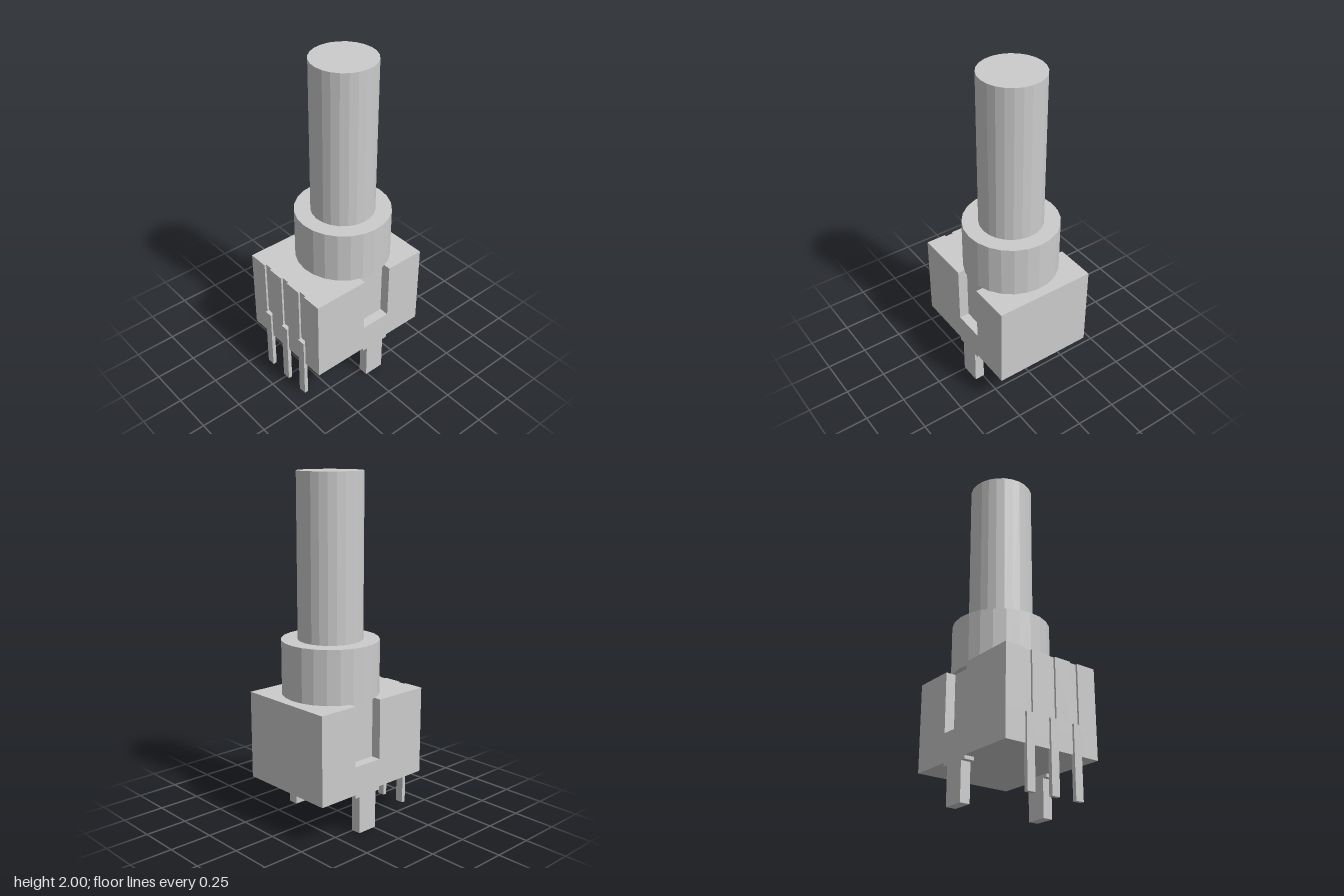
import * as THREE from 'three';

const HALF_W = 0.305, BACK = -0.395, FRONT = 0.382;
const BASE = 0.24, LEDGE = 0.405, TOP = 0.757;
const AXIS_Z = -0.055;
const PIN_X = [-0.157, 0, 0.157], PIN_HALF = 0.025, GROOVE_Z = 0.37;
const SLOT_X = 0.245, SLOT_BACK = -0.148, SLOT_FRONT = 0.04;

export function createModel() {
  const group = new THREE.Group();
  const material = new THREE.MeshStandardMaterial({ color: 0xcccccc, flatShading: true });

  const add = (name, geometry) => {
    const mesh = new THREE.Mesh(geometry, material);
    mesh.name = name;
    group.add(mesh);
    return mesh;
  };

  // Box given by its limits on each axis
  const box = (name, x0, x1, y0, y1, z0, z1) => {
    const mesh = add(name, new THREE.BoxGeometry(x1 - x0, y1 - y0, z1 - z0));
    mesh.position.set((x0 + x1) / 2, (y0 + y1) / 2, (z0 + z1) / 2);
  };

  // 24-sided upright cylinder on the shaft axis
  const cylinder = (name, radius, y0, y1) => {
    const mesh = add(name, new THREE.CylinderGeometry(radius, radius, y1 - y0, 24));
    mesh.position.set(0, (y0 + y1) / 2, AXIS_Z);
    mesh.rotation.y = -0.026;
  };

  // Lower housing: plain block
  box('lowerHousing', -HALF_W, HALF_W, BASE, LEDGE, BACK, FRONT);

  // Upper housing: plan outline with side slots and shallow pin grooves
  const plan = [[-HALF_W, FRONT]];
  for (const x of PIN_X) {
    plan.push([x - PIN_HALF, FRONT], [x - PIN_HALF, GROOVE_Z], [x + PIN_HALF, GROOVE_Z], [x + PIN_HALF, FRONT]);
  }
  plan.push([HALF_W, FRONT], [HALF_W, SLOT_FRONT], [SLOT_X, SLOT_FRONT], [SLOT_X, SLOT_BACK], [HALF_W, SLOT_BACK]);
  plan.push([HALF_W, BACK], [-HALF_W, BACK]);
  plan.push([-HALF_W, SLOT_BACK], [-SLOT_X, SLOT_BACK], [-SLOT_X, SLOT_FRONT], [-HALF_W, SLOT_FRONT]);
  const shape = new THREE.Shape(plan.map(([x, z]) => new THREE.Vector2(x, -z)));
  const upper = new THREE.ExtrudeGeometry(shape, { depth: TOP - LEDGE, bevelEnabled: false });
  upper.rotateX(-Math.PI / 2);
  add('upperHousing', upper).position.y = LEDGE;

  // Collar and shaft
  cylinder('collar', 0.28, TOP, 1.07);
  cylinder('shaft', 0.186, 1.07, 2);

  // Three contact pins on the front face
  for (const x of PIN_X) box('contactPin', x - PIN_HALF, x + PIN_HALF, 0, LEDGE, GROOVE_Z, 0.394);

  // Mounting legs with shoulders, one on each side
  for (const side of [-1, 1]) {
    const x0 = side > 0 ? SLOT_X : -HALF_W;
    const x1 = side > 0 ? HALF_W : -SLOT_X;
    box('legShoulder', x0, x1, 0.22, BASE, SLOT_BACK, SLOT_FRONT);
    box('mountingLeg', x0, x1, 0, 0.22, -0.115, 0.01);
  }

  return group;
}
